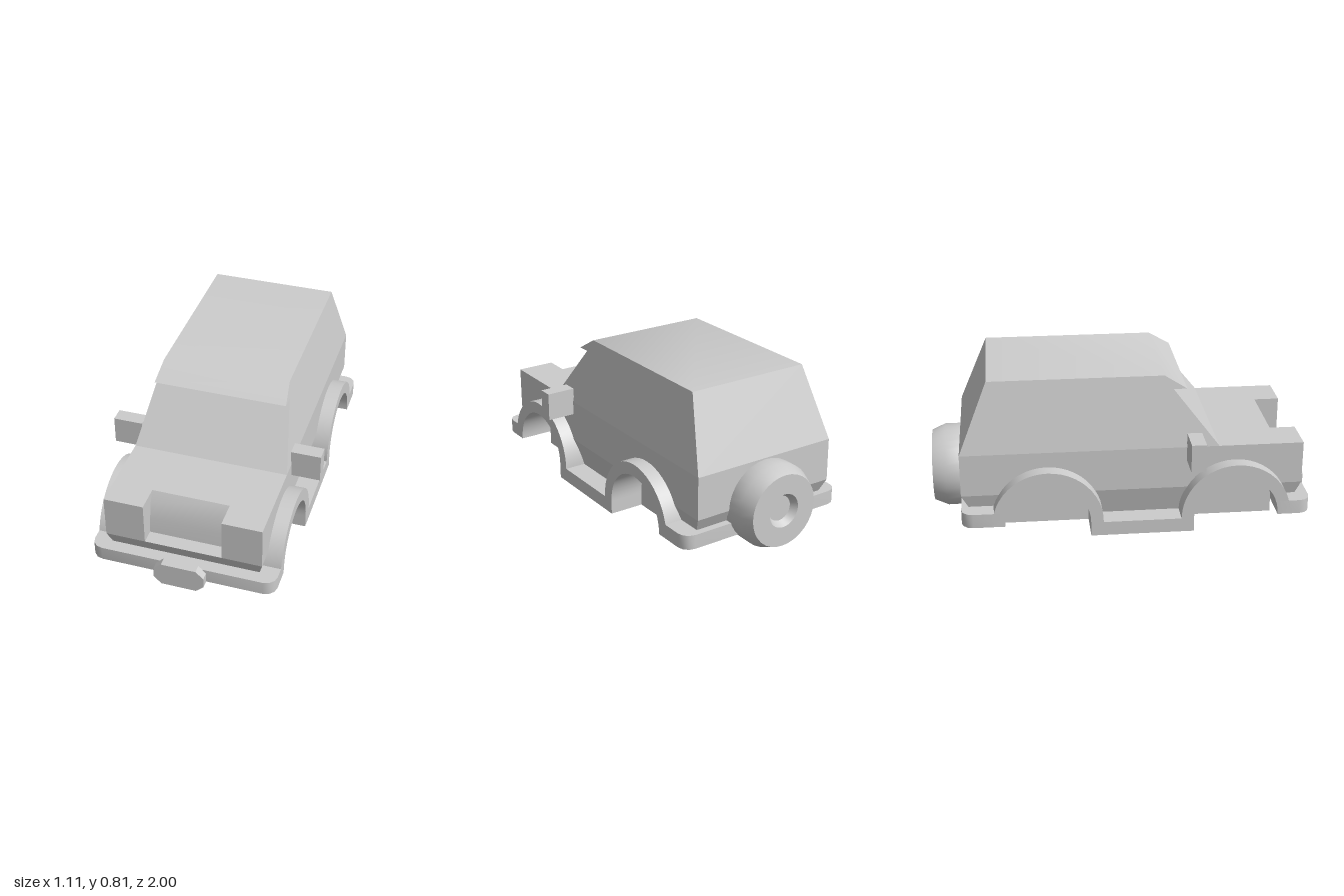
import * as THREE from 'three';
import { toCreasedNormals } from 'three/addons/utils/BufferGeometryUtils.js';

const grey = new THREE.MeshStandardMaterial({ color: 0xcccccc });
grey.name = 'plain grey';

const toShape = (pts) => new THREE.Shape(pts.map(([u, v]) => new THREE.Vector2(u, v)));

export function createModel() {
  const group = new THREE.Group();

  const add = (name, geometry, crease = 0.6) => {
    const g = geometry.index ? geometry.toNonIndexed() : geometry;
    const mesh = new THREE.Mesh(toCreasedNormals(g, crease), grey);
    mesh.name = name;
    group.add(mesh);
    return mesh;
  };

  // Side profile of [z, y] points, spanning inner(y) to outer(y) in x
  const slab = (name, pts, inner, outer) => {
    const g = new THREE.ExtrudeGeometry(toShape(pts), { depth: 1, bevelEnabled: false });
    const p = g.attributes.position;
    for (let i = 0; i < p.count; i++) {
      const z = p.getX(i), y = p.getY(i), w = p.getZ(i);
      const a = inner(y), b = outer(y);
      p.setXYZ(i, b + w * (a - b), y, z);
    }
    g.computeVertexNormals();
    return add(name, g);
  };
  const wide = (name, pts, half) => slab(name, pts, (y) => -half(y), half);
  const pair = (name, pts, a, b) => {
    slab(name + 'Left', pts, () => a, () => b);
    slab(name + 'Right', pts, () => -b, () => -a);
  };
  const box = (name, x0, x1, y0, y1, z0, z1) => {
    const mesh = add(name, new THREE.BoxGeometry(x1 - x0, y1 - y0, z1 - z0));
    mesh.position.set((x0 + x1) / 2, (y0 + y1) / 2, (z0 + z1) / 2);
  };
  const arc = (c, r, from, to, n = 24) => Array.from({ length: n + 1 }, (_, i) => {
    const t = from + (to - from) * i / n;
    return [c + r * Math.cos(t), 0.08 + r * Math.sin(t)];
  });

  const FRONT = 0.565, REAR = -0.41, WAIST = 0.445, FOLD = 0.22;

  // Cabin with overhanging brow, narrowing to the roof
  wide('cabin', [[0.48, WAIST], [0.245, 0.745], [0.315, 0.745], [0.2, 0.815],
    [-0.7, 0.815], [-0.85, WAIST]], (y) => 0.405 - (y - WAIST) * 0.19);

  // Body sides, notched above the wheels
  const start = Math.asin((FOLD - 0.08) / 0.25);
  pair('bodySide', [[0.92, FOLD], [0.92, WAIST], [-0.85, WAIST], [-0.85, FOLD],
    ...arc(REAR, 0.25, Math.PI - start, start, 12),
    ...arc(FRONT, 0.25, Math.PI - start, start, 12)], 0.2, 0.405);

  // Centre of the body, ending in the recessed sloping grille
  wide('bodyCoreAndGrille', [[-0.85, FOLD], [0.845, FOLD], [0.835, 0.3], [0.815, 0.39],
    [0.785, WAIST], [-0.85, WAIST]], () => 0.2);

  // Lower skirt, tucked in towards the ground
  const skirt = (y) => 0.405 - (FOLD - y) * 0.28;
  wide('frontSkirt', [[0.772, FOLD], [0.815, 0.08], [0.86, 0.08], [0.892, 0.15], [0.92, FOLD]], skirt);
  wide('middleSkirt', [[REAR + 0.207, FOLD], [REAR + 0.25, 0.07], [FRONT - 0.25, 0.07], [FRONT - 0.207, FOLD]], skirt);
  wide('rearSkirt', [[-0.85, FOLD], [-0.815, 0.15], [-0.78, 0.08], [-0.66, 0.08], [-0.617, FOLD]], skirt);

  // Floor between the wheel wells, and the sills
  box('floor', -0.295, 0.295, 0, 0.4, -0.63, 0.785);
  box('sills', -0.48, 0.48, 0, 0.075, -0.19, 0.345);

  // Wheel arches lining the wells
  for (const [name, c] of [['frontArch', FRONT], ['rearArch', REAR]]) {
    pair(name, [[c + 0.285, 0.075], ...arc(c, 0.285, 0, Math.PI), [c - 0.285, 0.075],
      [c - 0.22, 0.075], ...arc(c, 0.22, Math.PI, 0), [c + 0.22, 0.075]], 0.29, 0.48);
  }

  // Bumpers with rounded corners
  const bumper = (name, inner, outer) => {
    const s = Math.sign(outer);
    const half = [[0.48, inner], [0.48, outer - s * 0.06], [0.472, outer - s * 0.03],
      [0.45, outer - s * 0.008], [0.42, outer]];
    const pts = [...half, ...half.map(([x, z]) => [-x, z]).reverse()];
    const g = new THREE.ExtrudeGeometry(toShape(pts.map(([x, z]) => [x, -z])), { depth: 0.075, bevelEnabled: false });
    add(name, g.rotateX(-Math.PI / 2).translate(0, 0.075, 0));
  };
  bumper('frontBumper', 0.787, 0.958);
  bumper('rearBumper', -0.632, -0.852);

  // Blank eight-sided plate
  const plate = new THREE.ExtrudeGeometry(toShape([[-0.13, 0.075], [-0.09, 0.038], [0.09, 0.038], [0.13, 0.075],
    [0.13, 0.13], [0.09, 0.167], [-0.09, 0.167], [-0.13, 0.13]]), { depth: 0.045, bevelEnabled: false });
  add('frontPlate', plate.translate(0, 0, 0.955));

  // Door mirrors
  box('mirrorLeft', 0.4, 0.555, 0.372, 0.52, 0.312, 0.388);
  box('mirrorRight', -0.555, -0.4, 0.372, 0.52, 0.312, 0.388);

  // Spare wheel with a dished hub
  const tyre = [[0, 0.74], [0.19, 0.74], [0.218, 0.8], [0.22, 0.93], [0.19, 1],
    [0.088, 1], [0.066, 0.965], [0, 0.965]].map(([r, y]) => new THREE.Vector2(r, y));
  add('spareWheel', new THREE.LatheGeometry(tyre, 32).rotateX(-Math.PI / 2).translate(0, 0.22, 0), 0.5);

  return group;
}
